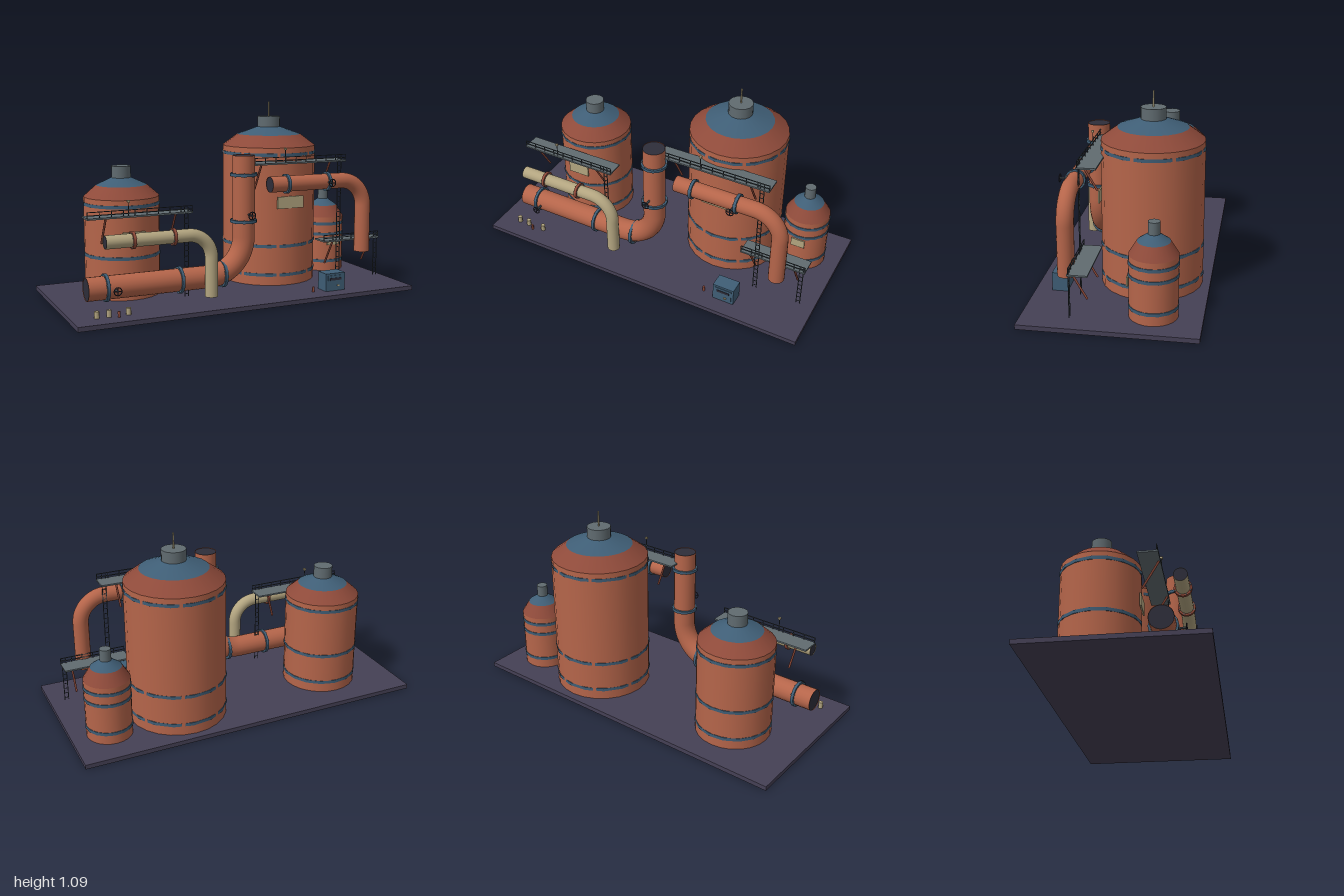
import * as THREE from 'three';

const mat = (color, side = THREE.FrontSide) => new THREE.MeshStandardMaterial({ color, side });
const M = {
  rust: mat(0xb5654a), rustPipe: mat(0xb5654a, THREE.DoubleSide), red: mat(0x8e4a3a),
  blue: mat(0x3f5e76), grey: mat(0x606b70), cream: mat(0xb3a580), creamPipe: mat(0xb3a580, THREE.DoubleSide),
  base: mat(0x454055), dark: mat(0x2e2e3a), steel: mat(0x3a4248),
};
const V = (x, y, z) => new THREE.Vector3(x, y, z);

function add(parent, name, geo, material, x = 0, y = 0, z = 0) {
  const m = new THREE.Mesh(geo, material);
  m.name = name;
  m.position.set(x, y, z);
  parent.add(m);
  return m;
}
const box = (p, name, m, w, h, d, x, y, z) => add(p, name, new THREE.BoxGeometry(w, h, d), m, x, y, z);
const cyl = (p, name, m, rTop, rBot, y0, y1, x, z, n = 24) =>
  add(p, name, new THREE.CylinderGeometry(rTop, rBot, y1 - y0, n), m, x, (y0 + y1) / 2, z);

// Straight round bar between two points
function bar(p, name, m, a, b, r, n = 6) {
  const d = b.clone().sub(a);
  const mesh = add(p, name, new THREE.CylinderGeometry(r, r, d.length(), n), m);
  mesh.position.copy(a).addScaledVector(d, 0.5);
  mesh.quaternion.setFromUnitVectors(V(0, 1, 0), d.normalize());
  return mesh;
}

function group(parent, name) {
  const g = new THREE.Group();
  g.name = name;
  parent.add(g);
  return g;
}

// Storage tank: wall, two-step roof, cap, hoops and a plate on the front
function tank(root, name, t) {
  const g = group(root, name);
  g.position.set(t.x, 0, t.z);
  cyl(g, 'tankWall', M.rust, t.r, t.r, 0.025, t.wall, 0, 0);
  cyl(g, 'lowerRoof', M.red, t.r2, t.r, t.wall, t.y2, 0, 0);
  cyl(g, 'upperRoof', M.blue, t.capR, t.r2, t.y2, t.y3, 0, 0);
  cyl(g, 'roofCap', M.grey, t.capR, t.capR, t.y3 - 0.01, t.top, 0, 0, 16);
  for (const y of t.hoops) {
    const hoop = cyl(g, 'hoop', M.blue, t.r + 0.0042, t.r + 0.0042, y - 0.009, y + 0.009, 0, 0, 16);
    hoop.rotation.y = THREE.MathUtils.degToRad(-3.75);
  }
  const [px, py, w, h] = t.plate;
  box(g, 'plate', M.cream, w, h, 0.008, px, py, t.r + 0.002);
  return g;
}

// Pipe with one rounded corner and dark ends
function pipe(root, name, m, a, corner, b, bend, r) {
  const g = group(root, name);
  const d1 = corner.clone().sub(a).normalize(), d2 = b.clone().sub(corner).normalize();
  const k = bend * (1 - 0.5523);
  const at = (d, s) => corner.clone().addScaledVector(d, s);
  const s = at(d1, -bend), e = at(d2, bend);
  const path = new THREE.CurvePath();
  path.add(new THREE.LineCurve3(a, s));
  path.add(new THREE.CubicBezierCurve3(s, at(d1, -k), at(d2, k), e));
  path.add(new THREE.LineCurve3(e, b));
  add(g, 'pipeBody', new THREE.TubeGeometry(path, 72, r, 20), m);
  for (const [p, d] of [[a, d1.clone().negate()], [b, d2]]) {
    const disc = add(g, 'pipeMouth', new THREE.CircleGeometry(r * 0.98, 20), M.dark);
    disc.position.copy(p).addScaledVector(d, -0.003);
    disc.quaternion.setFromUnitVectors(V(0, 0, 1), d);
  }
  return g;
}

// Bolted collar around a pipe
function flange(p, m, r, axis, x, y, z) {
  const g = group(p, 'flange');
  g.position.set(x, y, z);
  if (axis === 'x') g.rotation.z = Math.PI / 2;
  cyl(g, 'collar', m, r, r, -0.008, 0.008, 0, 0, 16);
  for (let i = 0; i < 8; i++) {
    const t = (i + 0.5) * Math.PI / 4;
    cyl(g, 'bolt', M.grey, 0.004, 0.004, -0.011, 0.011, Math.cos(t) * (r - 0.006), Math.sin(t) * (r - 0.006), 6);
  }
}

// Hand wheel on a stem facing forward
function valve(p, x, y, z) {
  const g = group(p, 'valve');
  const front = 0.328;
  bar(g, 'stem', M.steel, V(x, y, z), V(x, y, front), 0.006, 8);
  add(g, 'handWheel', new THREE.TorusGeometry(0.021, 0.003, 6, 16), M.dark, x, y, front);
  box(g, 'spoke', M.dark, 0.042, 0.004, 0.004, x, y, front);
  box(g, 'spoke', M.dark, 0.004, 0.042, 0.004, x, y, front);
}

// Walkway with front railing, diagonal struts and ladder
function walkway(root, x0, x1, y, struts, ladderX) {
  const g = group(root, 'walkway');
  const w = x1 - x0, zf = 0.2, h = 0.036;
  box(g, 'deck', M.grey, w, 0.009, 0.105, (x0 + x1) / 2, y, 0.155);
  const n = Math.round(w / 0.065);
  for (let i = 0; i <= n; i++)
    box(g, 'railPost', M.steel, 0.004, h, 0.004, x0 + 0.002 + (w - 0.004) * i / n, y + h / 2, zf);
  for (const s of [0.5, 1])
    box(g, 'handRail', M.steel, w, 0.004, 0.004, (x0 + x1) / 2, y + h * s, zf);
  for (const x of struts)
    bar(g, 'strut', M.red, V(x, y - 0.005, 0.2), V(x, y - 0.148, 0.117), 0.006);
  const bottom = 0.045, top = y + 0.03;
  for (const s of [-1, 1])
    box(g, 'ladderRail', M.steel, 0.004, top - bottom, 0.004, ladderX + s * 0.011, (top + bottom) / 2, zf);
  for (let ry = bottom + 0.015; ry < top; ry += 0.03)
    box(g, 'ladderRung', M.steel, 0.022, 0.003, 0.003, ladderX, ry, zf);
  return g;
}

function lamp(g, x, y) {
  bar(g, 'lampPost', M.steel, V(x, y, 0.2), V(x, y + 0.08, 0.2), 0.0025);
  box(g, 'lampHead', M.cream, 0.013, 0.011, 0.013, x, y + 0.083, 0.2);
}

export function createModel() {
  const root = new THREE.Group();
  root.name = 'processPlant';
  box(root, 'basePlate', M.base, 2, 0.025, 0.92, 0, 0.0125, 0);

  // Tanks
  const big = tank(root, 'largeTank', { x: 0.36, z: -0.14, r: 0.277, wall: 0.83, r2: 0.19, y2: 0.895,
    capR: 0.068, y3: 0.938, top: 1.0, hoops: [0.087, 0.257, 0.79], plate: [0, 0.515, 0.17, 0.07] });
  cyl(big, 'mast', M.cream, 0.005, 0.005, 1.0, 1.087, 0, 0, 8);
  tank(root, 'mediumTank', { x: -0.577, z: -0.123, r: 0.212, wall: 0.578, r2: 0.142, y2: 0.64,
    capR: 0.054, y3: 0.68, top: 0.745, hoops: [0.087, 0.257, 0.54], plate: [0, 0.37, 0.13, 0.07] });
  tank(root, 'smallTank', { x: 0.785, z: -0.205, r: 0.127, wall: 0.362, r2: 0.085, y2: 0.43,
    capR: 0.031, y3: 0.468, top: 0.533, hoops: [0.087, 0.257, 0.322], plate: [0, 0.215, 0.08, 0.05] });

  // Wide pipe rising between the tanks
  const zA = 0.22;
  const a = pipe(root, 'riserPipe', M.rustPipe, V(-0.89, 0.147, zA), V(0.018, 0.147, zA), V(0.018, 0.81, zA), 0.21, 0.063);
  for (const x of [-0.785, -0.37, -0.115]) flange(a, M.blue, 0.075, 'x', x, x > -0.2 ? 0.155 : 0.147, zA);
  for (const y of [0.445, 0.704]) flange(a, M.blue, 0.075, 'y', 0.018, y, zA);
  valve(a, -0.75, 0.147, zA);
  valve(a, 0.018, 0.487, zA);

  // Downpipe in front of the large and small tanks
  const zB = 0.243;
  const b = pipe(root, 'downPipe', M.rustPipe, V(0.168, 0.64, zB), V(0.785, 0.64, zB), V(0.785, 0.213, zB), 0.15, 0.045);
  for (const x of [0.272, 0.535]) flange(b, M.blue, 0.056, 'x', x, 0.64, zB);
  valve(b, 0.525, 0.64, zB);

  // Pale pipe in front of the medium tank
  const zC = 0.307;
  const c = pipe(root, 'palePipe', M.creamPipe, V(-0.81, 0.405, zC), V(-0.216, 0.405, zC), V(-0.216, 0.06, zC), 0.13, 0.036);
  for (const x of [-0.66, -0.435]) flange(c, M.red, 0.047, 'x', x, 0.405, zC);

  // Walkways
  lamp(walkway(root, -0.87, -0.28, 0.51, [-0.77, -0.38], -0.317), -0.645, 0.51);
  lamp(walkway(root, 0.03, 0.69, 0.75, [0.137, 0.583], 0.648), 0.29, 0.75);
  walkway(root, 0.55, 0.93, 0.277, [0.61, 0.87], 0.91);

  // Control cabinet
  const cab = group(root, 'controlCabinet');
  box(cab, 'cabinetBody', M.blue, 0.125, 0.102, 0.085, 0.53, 0.076, 0.327);
  box(cab, 'cabinetDoor', M.blue, 0.1, 0.078, 0.004, 0.53, 0.076, 0.371);
  box(cab, 'ventSlot', M.dark, 0.075, 0.014, 0.003, 0.53, 0.094, 0.374);
  box(cab, 'handle', M.cream, 0.014, 0.008, 0.008, 0.545, 0.056, 0.376);

  // Small posts on the ground
  for (const x of [-0.87, -0.805, -0.7]) cyl(root, 'bollard', M.cream, 0.013, 0.013, 0.025, 0.062, x, 0.345, 10);
  for (const [x, z] of [[-0.76, 0.37], [0.4, 0.345]]) cyl(root, 'marker', M.red, 0.007, 0.007, 0.025, 0.056, x, z, 8);
  return root;
}
